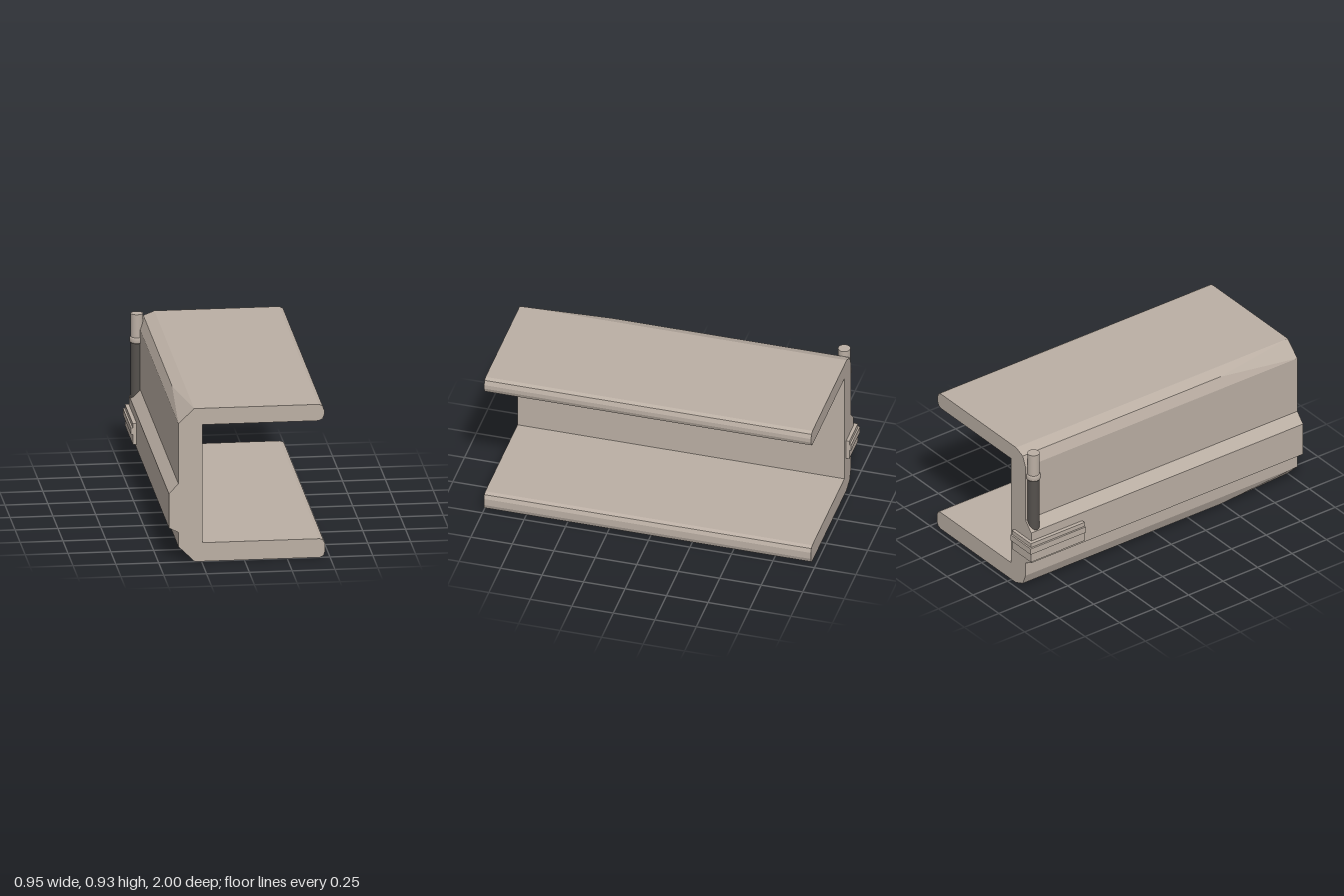
import * as THREE from 'three';
import { ConvexGeometry } from 'three/addons/geometries/ConvexGeometry.js';

export function createModel() {
  const model = new THREE.Group();
  const beige = new THREE.MeshStandardMaterial({ color: 0xbbafa4 });
  beige.name = 'warm beige';
  const dark = new THREE.MeshStandardMaterial({ color: 0x55514d });
  dark.name = 'dark grey';

  const add = (name, geometry, material = beige) => {
    const mesh = new THREE.Mesh(geometry, material);
    mesh.name = name;
    model.add(mesh);
    return mesh;
  };
  // box given by its opposite corners
  const box = (name, x0, x1, y0, y1, z0, z1) =>
    add(name, new THREE.BoxGeometry(x1 - x0, y1 - y0, z1 - z0))
      .position.set((x0 + x1) / 2, (y0 + y1) / 2, (z0 + z1) / 2);

  const back = -0.97, front = 1;

  // C-shaped channel with rounded lips and a raised band on its outer wall
  const profile = [
    [-0.29, 0], [0.44, 0], [0.462, 0.01], [0.472, 0.037], [0.472, 0.08], [0.462, 0.104], [0.44, 0.113],
    [-0.245, 0.113], [-0.245, 0.828],
    [0.435, 0.828], [0.457, 0.839], [0.467, 0.865], [0.467, 0.89], [0.457, 0.917], [0.435, 0.927],
    [-0.293, 0.927], [-0.385, 0.838],
    [-0.385, 0.475], [-0.44, 0.415], [-0.44, 0.208], [-0.385, 0.18], [-0.385, 0.094],
  ];
  const channel = new THREE.ExtrudeGeometry(
    new THREE.Shape(profile.map(([x, y]) => new THREE.Vector2(x, y))),
    { depth: front - back, bevelEnabled: false });
  channel.translate(0, 0, back);
  add('channel', channel);

  // fuller outer corners that taper into the front chamfer
  const corner = (name, wall, mid, flat) => add(name, new ConvexGeometry([
    ...[wall, mid, flat].map(([x, y]) => new THREE.Vector3(x, y, back)),
    new THREE.Vector3(...mid, 0.46),
    ...[wall, flat].map(([x, y]) => new THREE.Vector3(x, y, front)),
  ]));
  corner('upperCorner', [-0.385, 0.838], [-0.358, 0.902], [-0.293, 0.927]);
  corner('lowerCorner', [-0.385, 0.094], [-0.358, 0.028], [-0.29, 0]);

  // clip wrapped round the back edge, with a central rib
  box('clipSide', -0.463, -0.435, 0.234, 0.36, -0.99, -0.6);
  box('clipSideRib', -0.474, -0.46, 0.295, 0.334, -1, -0.6);
  box('clipBack', -0.463, -0.28, 0.234, 0.36, -0.99, -0.965);
  box('clipBackRib', -0.474, -0.28, 0.295, 0.334, -1, -0.985);

  // upright pin: dark shaft, rounded collar and light cap
  const pin = (name, points, material) => {
    const lathe = new THREE.LatheGeometry(points.map(([r, y]) => new THREE.Vector2(r, y)), 24);
    add(name, lathe, material).position.set(-0.401, 0, -0.925);
  };
  const cylinder = (name, r, y0, y1, material) =>
    add(name, new THREE.CylinderGeometry(r, r, y1 - y0, 24), material)
      .position.set(-0.401, (y0 + y1) / 2, -0.925);
  cylinder('pinShaft', 0.036, 0.4, 0.757, dark);
  pin('pinCollar', [[0.001, 0.755], [0.039, 0.755], [0.043, 0.763], [0.043, 0.783], [0.039, 0.79], [0.001, 0.79]], beige);
  cylinder('pinCap', 0.036, 0.788, 0.93, beige);

  return model;
}
